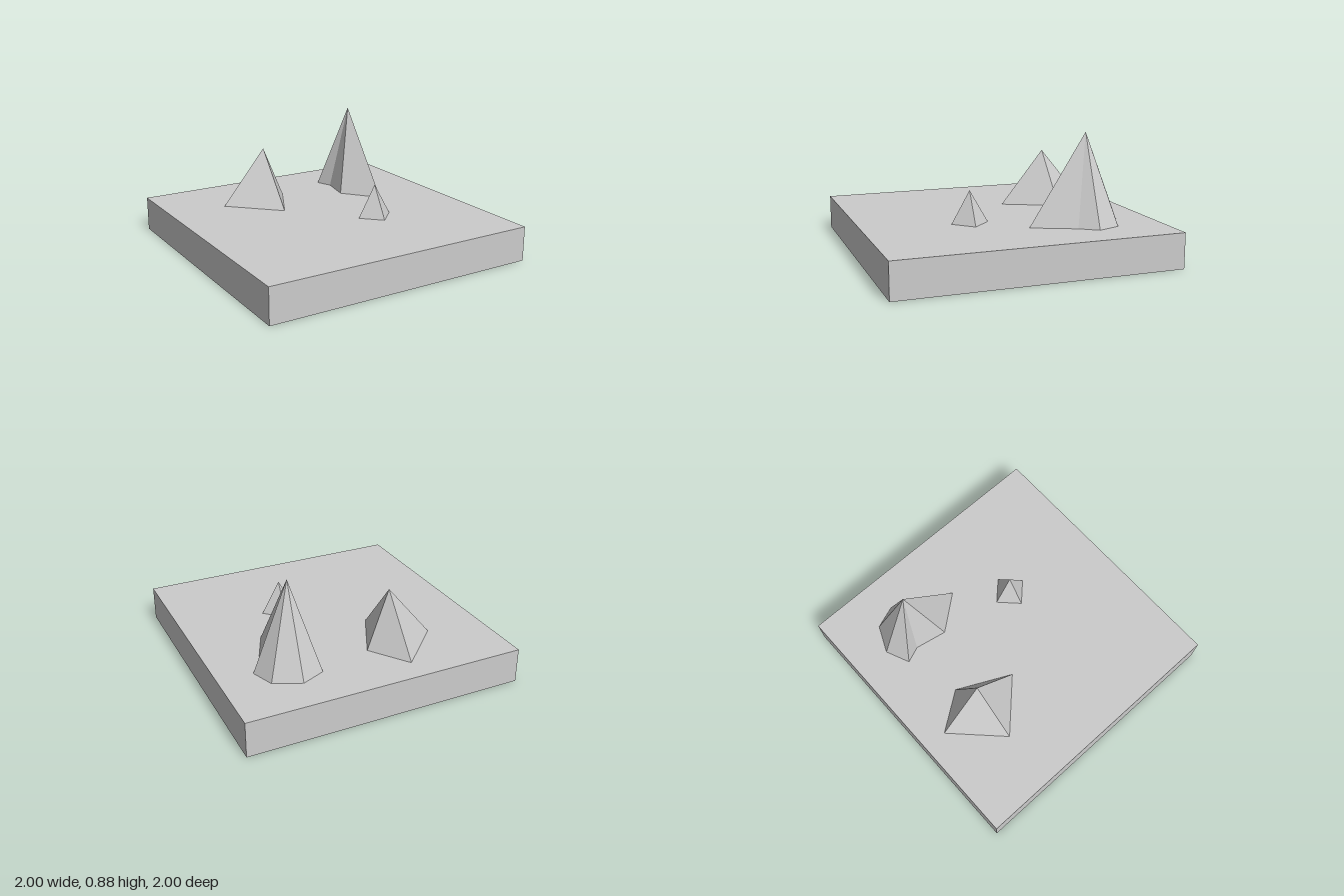
import * as THREE from 'three';

const TOP = 0.25; // height of the slab

const material = new THREE.MeshStandardMaterial({ color: 0xcccccc, flatShading: true });

// Faceted peak: a fan of triangles from a footprint of [x, z] corners
// (anticlockwise seen from above) up to one apex.
function makePeak(name, apex, footprint) {
  const positions = [];
  footprint.forEach(([x, z], i) => {
    const [nx, nz] = footprint[(i + 1) % footprint.length];
    positions.push(x, TOP, z, nx, TOP, nz, ...apex);
  });
  const geometry = new THREE.BufferGeometry();
  geometry.setAttribute('position', new THREE.Float32BufferAttribute(positions, 3));
  geometry.computeVertexNormals();
  const mesh = new THREE.Mesh(geometry, material);
  mesh.name = name;
  return mesh;
}

export function createModel() {
  const model = new THREE.Group();
  model.name = 'mountainTerrain';

  // Square ground slab
  const ground = new THREE.Mesh(new THREE.BoxGeometry(2, TOP, 2), material);
  ground.position.y = TOP / 2;
  ground.name = 'groundSlab';
  model.add(ground);

  // Lopsided four-sided peak
  model.add(makePeak('mediumPeak', [-0.25, 0.65, -0.5], [
    [-0.58, -0.5], [-0.25, -0.175], [-0.06, -0.56], [-0.25, -0.83],
  ]));

  // Tall peak with an irregular eight-cornered foot
  model.add(makePeak('tallPeak', [0.5, 0.88, -0.5], [
    [0.33, -0.33], [0.53, -0.08], [0.665, -0.38], [0.75, -0.5],
    [0.69, -0.665], [0.5, -0.75], [0.33, -0.675], [0.375, -0.56],
  ]));

  // Small regular pyramid
  const r = 0.132;
  model.add(makePeak('smallPeak', [0.25, 0.48, 0.25], [
    [0.25 - r, 0.25], [0.25, 0.25 + r], [0.25 + r, 0.25], [0.25, 0.25 - r],
  ]));

  return model;
}
